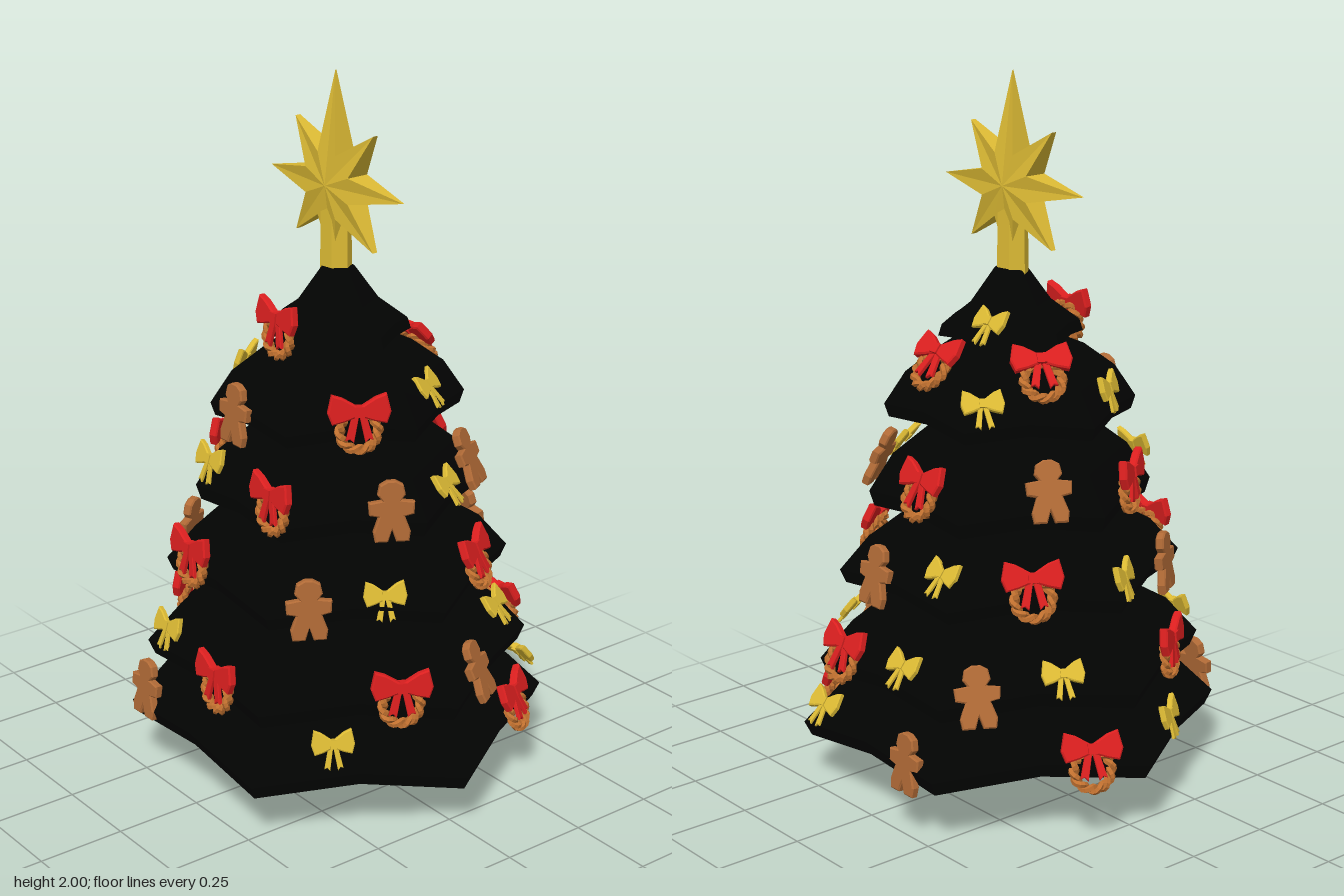
import * as THREE from 'three';

const mat = (name, color, flatShading = true) => {
  const m = new THREE.MeshStandardMaterial({ color, flatShading });
  m.name = name;
  return m;
};
const needles = mat('dark needles', 0x020302);
const bark = mat('bark', 0x683f39);
const gold = mat('gold', 0xdcba34);
const red = mat('ribbon red', 0xdb1f1f);
const ginger = mat('gingerbread', 0xb06a36);
const straw = mat('wreath straw', 0xc0702f);

function mesh(name, geometry, material, parent) {
  const m = new THREE.Mesh(geometry, material);
  m.name = name;
  parent.add(m);
  return m;
}

function fromTriangles(points) {
  const g = new THREE.BufferGeometry().setFromPoints(points);
  g.computeVertexNormals();
  return g;
}

// Branch tiers: corner radius, hem height, rise, sideways tilt
const TIERS = [
  [0.59, 0.148, 0.26, -0.03], [0.54, 0.335, 0.27, -0.03], [0.48, 0.595, 0.24, -0.02],
  [0.395, 0.81, 0.27, 0], [0.35, 1.06, 0.23, 0.02], [0.2, 1.285, 0.185, 0],
];
const DOME = [[0.965, 0], [1, 0.16], [0.83, 0.55], [0.58, 0.83], [0.3, 1]];
const PEAK = [[1, 0], [0.95, 0.17], [0.55, 0.5], [0.22, 1]];
const profileOf = k => (k === 5 ? PEAK : DOME);

// Six-sided skirt with a hollow underside and a hem that arches between its corners
function tierGeometry(k) {
  const [R, y0, rise, tilt] = TIERS[k];
  const rows = [[0, 0.5], ...profileOf(k), [0, 1]];
  const rings = rows.map(([r, h], j) => Array.from({ length: 12 }, (_, i) => {
    const a = i * Math.PI / 6 + 0.015, mid = i % 2;
    const rad = R * r * (mid ? 0.866 : 1);
    const arch = mid && (j === 1 || j === 2) ? 0.05 * R : 0;
    const x = rad * Math.cos(a);
    return new THREE.Vector3(x, y0 + rise * h + arch + tilt * x, rad * Math.sin(a));
  }));
  const pts = [];
  for (let j = 0; j < rings.length - 1; j++) {
    for (let i = 0; i < 12; i++) {
      const n = (i + 1) % 12;
      const a = rings[j][i], b = rings[j][n], c = rings[j + 1][n], d = rings[j + 1][i];
      if (j > 0) pts.push(a, c, b);
      if (j < rings.length - 2) pts.push(a, d, c);
    }
  }
  return fromTriangles(pts);
}

// Distance from the axis to the middle of a tier's side at height y
function apothem(k, y) {
  const [R, y0, rise] = TIERS[k], p = profileOf(k);
  const h = THREE.MathUtils.clamp((y - y0) / rise, 0, 1);
  const i = Math.max(1, p.findIndex(q => h <= q[1]));
  const t = (h - p[i - 1][1]) / (p[i][1] - p[i - 1][1]);
  return 0.866 * R * THREE.MathUtils.lerp(p[i - 1][0], p[i][0], t);
}

// Eight-pointed star, long and short points alternating
function starGeometry() {
  const at = (r, a, z) => new THREE.Vector3(r * Math.sin(a), r * Math.cos(a), z);
  const pts = [], step = Math.PI / 4;
  for (let i = 0; i < 8; i++) {
    const short = i % 2;
    const tip = s => at(i === 0 ? 0.305 : short ? 0.222 : 0.268, i * step, s * (short ? 0.008 : 0.002));
    const valley = (side, s) => at(0.093, (i + side / 2) * step, 0.034 * s);
    for (const s of [1, -1]) {
      const c = new THREE.Vector3(0, 0, 0.04 * s);
      pts.push(c, tip(s), valley(-s, s), c, valley(s, s), tip(s));
      // side walls
      pts.push(valley(s, 1 * s), valley(s, -1 * s), tip(s));
      pts.push(tip(s), valley(s, -1 * s), tip(-s));
    }
  }
  return fromTriangles(pts);
}

function slab(points, depth, bevel = 0.004) {
  const shape = new THREE.Shape(points.map(p => new THREE.Vector2(...p)));
  const g = new THREE.ExtrudeGeometry(shape, {
    depth, bevelEnabled: true, bevelSize: bevel, bevelThickness: bevel, bevelSegments: 1,
  });
  return g.translate(0, 0, -depth / 2);
}
const mirrorX = pts => pts.map(([x, y]) => [-x, y]).reverse();

// Shared ornament geometry
const LOOP = [[0.006, -0.01], [0.04, -0.022], [0.07, -0.029], [0.08, -0.002], [0.07, 0.042], [0.046, 0.034], [0.006, 0.01]];
const TAIL = [[0, 0], [0.016, -0.082], [0.025, -0.072], [0.035, -0.076], [0.014, 0]];
const bowParts = [LOOP, mirrorX(LOOP)].map(p => slab(p, 0.016));
const tailParts = [TAIL, mirrorX(TAIL)].map(p => slab(p, 0.008, 0.002));
const knot = new THREE.BoxGeometry(0.026, 0.028, 0.034);

const HALF_MAN = [[0.014, -0.078], [0.042, -0.078], [0.046, -0.055], [0.03, -0.01], [0.056, -0.004], [0.058, 0.024], [0.02, 0.03], [0.033, 0.048], [0.028, 0.072], [0.01, 0.082]];
const man = slab([[0, -0.042], ...HALF_MAN, ...mirrorX(HALF_MAN)], 0.016);

class Strand extends THREE.Curve {
  constructor(phase) { super(); this.phase = phase; }
  getPoint(t, out = new THREE.Vector3()) {
    const a = t * Math.PI * 2, b = a * 6 + this.phase;
    const r = 0.051 + 0.007 * Math.cos(b);
    return out.set(r * Math.cos(a), r * Math.sin(a), 0.008 * Math.sin(b));
  }
}
const strands = [0, Math.PI].map(p => new THREE.TubeGeometry(new Strand(p), 48, 0.009, 5, true));

function bow(material) {
  const g = new THREE.Group();
  g.name = 'bow';
  bowParts.forEach(p => mesh('bowLoop', p, material, g));
  tailParts.forEach(p => mesh('bowTail', p, material, g));
  mesh('bowKnot', knot, material, g);
  return g;
}

const makers = {
  wreath() {
    const g = new THREE.Group();
    strands.forEach(s => { mesh('wreathStrand', s, straw, g).position.y = -0.02; });
    const b = bow(red);
    b.position.set(0, 0.036, 0.012);
    g.add(b);
    return g;
  },
  goldBow() {
    const g = new THREE.Group(), b = bow(gold);
    b.scale.set(0.7, 0.85, 0.7);
    b.position.y = 0.015;
    g.add(b);
    return g;
  },
  gingerbreadMan() {
    const g = new THREE.Group();
    mesh('cookie', man, ginger, g);
    return g;
  },
};
// Usual backward lean of each kind on the front and the back of the tree
const LEAN = { wreath: [0.12, 0.4], goldBow: [0.3, 0.65], gingerbreadMan: [0.1, 0.4] };

// Ornament centres on each tier, lowest first: x, y, z and an optional backward lean
const ORNAMENTS = [
  { wreath: [[0.41, 0.225, -0.31], [-0.5, 0.225, -0.14]],
    goldBow: [[-0.48, 0.26, 0.17], [0.38, 0.27, 0.31], [0.22, 0.25, -0.5]],
    gingerbreadMan: [[-0.24, 0.26, 0.49], [-0.16, 0.21, -0.5, 0.1]] },
  { wreath: [[-0.4, 0.43, 0.22], [0.09, 0.4, 0.48], [0.47, 0.41, 0.15], [0.17, 0.41, -0.46]],
    goldBow: [[-0.2, 0.44, 0.42], [0.31, 0.48, -0.33], [-0.1, 0.45, -0.47], [-0.43, 0.45, -0.18]],
    gingerbreadMan: [[0.47, 0.41, -0.12], [-0.3, 0.41, -0.37]] },
  { wreath: [[-0.11, 0.683, 0.4], [0.37, 0.683, -0.19], [-0.35, 0.683, -0.22]],
    goldBow: [[-0.43, 0.69, 0], [0.37, 0.66, 0.13], [-0.15, 0.7, -0.36]],
    gingerbreadMan: [[-0.35, 0.66, 0.26], [0.27, 0.65, 0.31], [0.07, 0.66, -0.42, 0.2]] },
  { wreath: [[-0.33, 0.905, 0.14], [0.16, 0.91, 0.33], [-0.03, 0.905, -0.34]],
    goldBow: [[-0.15, 0.93, 0.33], [0.36, 0.92, -0.1]],
    gingerbreadMan: [[0.36, 0.9, 0.1], [0.25, 0.93, -0.26], [-0.31, 0.93, -0.13]] },
  { wreath: [[0.27, 1.13, 0.14], [0.05, 1.225, -0.2, 0.7], [-0.19, 1.225, -0.06, 0.7]],
    goldBow: [[-0.24, 1.15, 0.11], [0.24, 1.16, -0.12], [-0.15, 1.15, -0.23]],
    gingerbreadMan: [[-0.05, 1.1, 0.28]] },
  { wreath: [[-0.03, 1.315, 0.15]], goldBow: [[-0.08, 1.34, -0.15]] },
];

function hang(kind, k, [x, y, z, lean = LEAN[kind][z < 0 ? 1 : 0]], parent) {
  // Turn to the nearest of the six sides, with middle and foot clear of the branches
  const a = Math.round(Math.atan2(x, z) / (Math.PI / 3)) * Math.PI / 3;
  const nx = Math.sin(a), nz = Math.cos(a), foot = 0.05;
  const clear = Math.max(
    apothem(k, y),
    apothem(k, y - foot * Math.cos(lean)) - foot * Math.sin(lean));
  const push = Math.max(0, clear + 0.008 - (x * nx + z * nz));
  const g = makers[kind]();
  g.name = kind;
  g.position.set(x + nx * push, y, z + nz * push);
  g.rotation.set(-lean, a, 0, 'YXZ');
  parent.add(g);
}

export function createModel() {
  const tree = new THREE.Group();
  tree.name = 'decoratedTree';

  const trunk = mesh('trunk', new THREE.CylinderGeometry(0.083, 0.083, 0.32, 6, 1, true), bark, tree);
  trunk.position.y = 0.16;
  trunk.rotation.y = Math.PI / 6;

  TIERS.forEach((_, k) => mesh('branchTier', tierGeometry(k), needles, tree));

  // Tree topper
  const topper = new THREE.Group();
  topper.name = 'topper';
  topper.position.x = -0.008;
  topper.rotation.y = 0.05;
  tree.add(topper);
  mesh('star', starGeometry(), gold, topper).position.y = 1.695;
  const stem = mesh('starStem', new THREE.CylinderGeometry(0.042, 0.046, 0.24, 6), gold, topper);
  stem.position.y = 1.55;
  stem.rotation.y = Math.PI / 6;
  stem.scale.z = 0.8;

  ORNAMENTS.forEach((set, k) => {
    for (const kind in set) set[kind].forEach(p => hang(kind, k, p, tree));
  });
  return tree;
}
